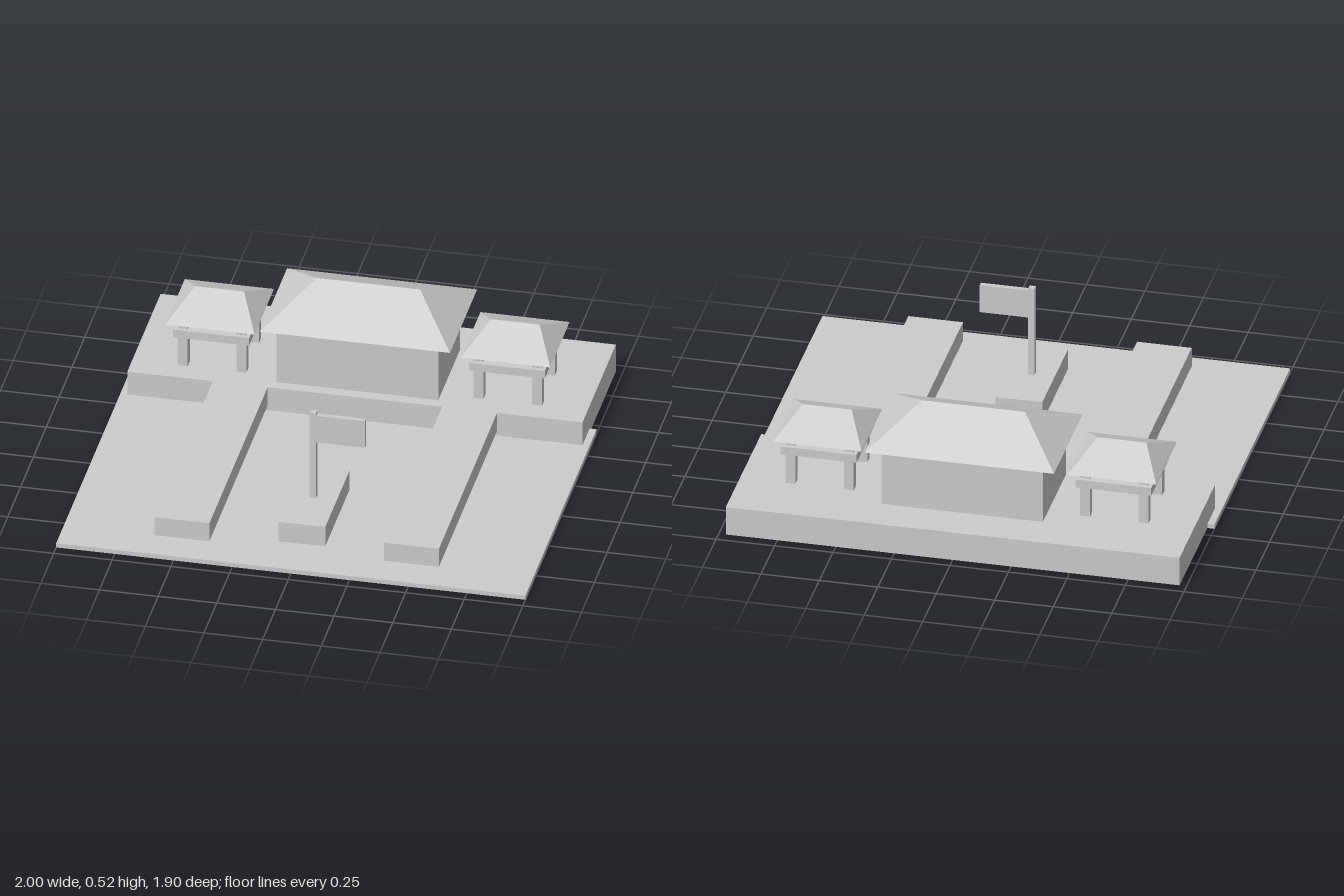
import * as THREE from 'three';
import { ConvexGeometry } from 'three/addons/geometries/ConvexGeometry.js';

export function createModel() {
  const model = new THREE.Group();
  model.name = 'templeCourtyard';
  const stone = new THREE.MeshStandardMaterial({ color: 0xcccccc });
  stone.name = 'pale grey';

  // Box given by its extents along each axis
  function block(parent, name, [x0, x1], [y0, y1], [z0, z1]) {
    const mesh = new THREE.Mesh(new THREE.BoxGeometry(x1 - x0, y1 - y0, z1 - z0), stone);
    mesh.position.set((x0 + x1) / 2, (y0 + y1) / 2, (z0 + z1) / 2);
    mesh.name = name;
    parent.add(mesh);
  }

  // Hipped roof centred on x, z with its ridge along x
  function hipRoof(parent, name, x, z, halfX, halfZ, halfRidge, eaveY, ridgeY) {
    const points = [];
    for (const s of [-1, 1]) {
      points.push(new THREE.Vector3(s * halfX, eaveY, -halfZ));
      points.push(new THREE.Vector3(s * halfX, eaveY, halfZ));
      points.push(new THREE.Vector3(s * halfRidge, ridgeY, 0));
    }
    const mesh = new THREE.Mesh(new ConvexGeometry(points), stone);
    mesh.position.set(x, 0, z);
    mesh.name = name;
    parent.add(mesh);
  }

  // Ground slab and raised rear terrace
  block(model, 'groundSlab', [-1, 1], [0, 0.02], [-0.44, 0.95]);
  block(model, 'terrace', [-0.97, 0.97], [0, 0.13], [-0.95, -0.3]);

  // Main hall
  block(model, 'hallWalls', [-0.345, 0.345], [0.13, 0.383], [-0.775, -0.35]);
  hipRoof(model, 'hallRoof', 0, -0.565, 0.405, 0.265, 0.22, 0.395, 0.525);

  // Raised walkways and open pavilions on both sides
  for (const side of [-1, 1]) {
    const cx = side * 0.63, cz = -0.543;
    const walkX = side * 0.489;
    block(model, 'walkway', [walkX - 0.117, walkX + 0.117], [0.043, 0.13], [-0.3, 0.835]);

    const pavilion = new THREE.Group();
    pavilion.name = side > 0 ? 'leftPavilion' : 'rightPavilion';
    for (const px of [-0.125, 0.125]) {
      for (const pz of [-0.125, 0.125]) {
        block(pavilion, 'post', [cx + px - 0.021, cx + px + 0.021], [0.13, 0.337],
          [cz + pz - 0.02, cz + pz + 0.02]);
      }
    }
    block(pavilion, 'beamSlab', [cx - 0.162, cx + 0.162], [0.273, 0.31], [cz - 0.164, cz + 0.164]);
    hipRoof(pavilion, 'pavilionRoof', cx, -0.545, 0.19, 0.19, 0.104, 0.345, 0.432);
    model.add(pavilion);
  }

  // Flag standing on a podium
  block(model, 'podium', [-0.1, 0.1], [0.02, 0.113], [0.265, 0.735]);
  block(model, 'flagPole', [-0.015, 0.012], [0.113, 0.522], [0.486, 0.512]);
  block(model, 'flag', [0.012, 0.22], [0.382, 0.51], [0.488, 0.51]);

  return model;
}
